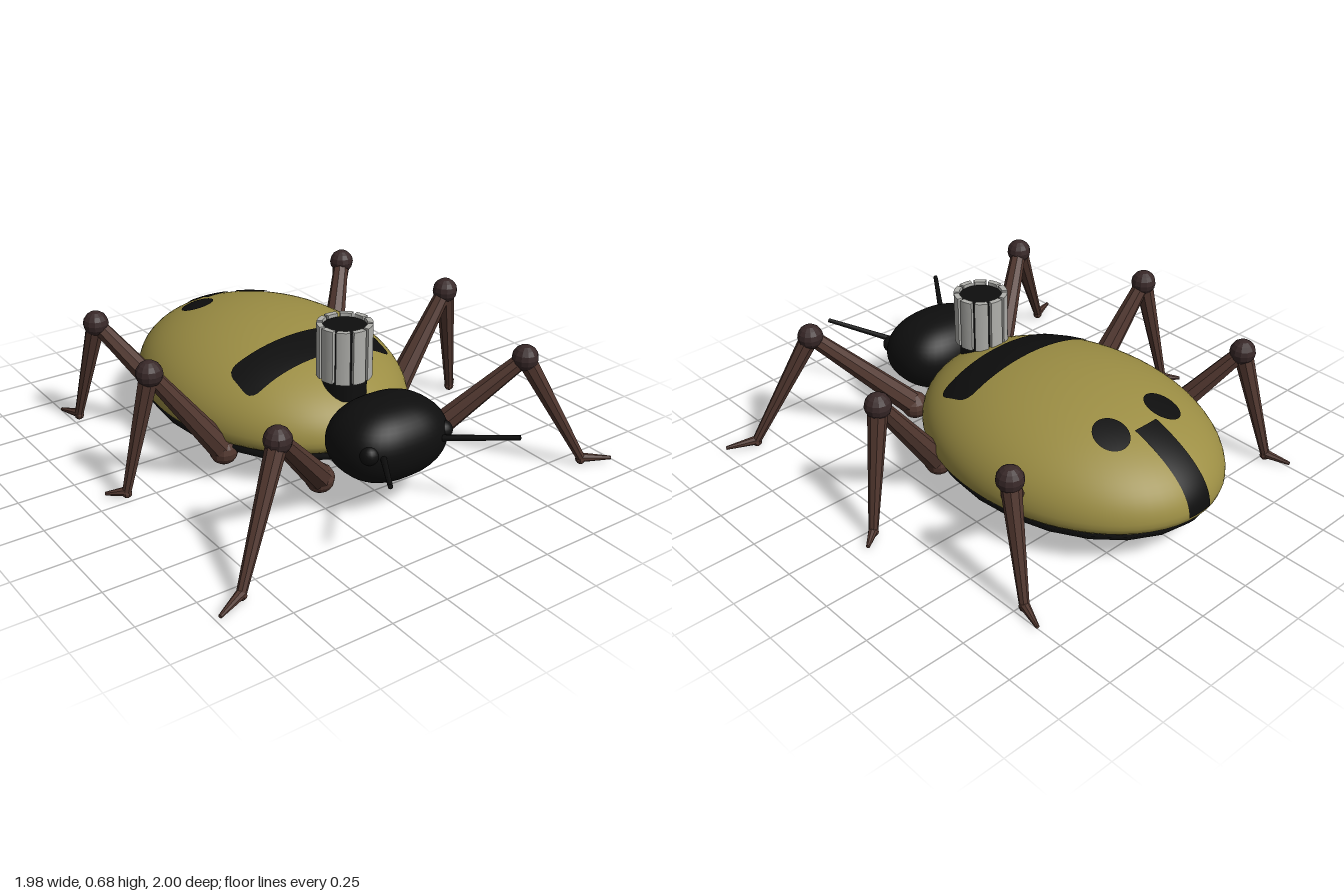
import * as THREE from 'three';

const mat = (name, color) => {
  const m = new THREE.MeshStandardMaterial({ color });
  m.name = name;
  return m;
};

// Shell ellipsoid: centre height and z, radii
const CY = 0.22, CZ = -0.277, RX = 0.543, RY = 0.316, RZ = 0.723;

export function createModel() {
  const model = new THREE.Group();
  model.name = 'beetle';
  const olive = mat('olive', 0x9c8e44);
  const black = mat('black', 0x0e0e0e);
  const brown = mat('brown', 0x51372f);
  const darkBrown = mat('dark brown', 0x382828);
  const grey = mat('grey', 0xb0b0ac);
  const blackMark = mat('marking black', 0x0e0e0e);
  blackMark.side = THREE.DoubleSide;
  const brownFlat = brown, darkFlat = darkBrown;
  brownFlat.flatShading = true;
  darkFlat.flatShading = true;

  const add = (parent, name, geo, material, x = 0, y = 0, z = 0) => {
    const m = new THREE.Mesh(geo, material);
    m.name = name;
    m.position.set(x, y, z);
    parent.add(m);
    return m;
  };
  // Tapered rod between two points
  const rod = (parent, name, a, b, ra, rb, material, sides = 8) => {
    const d = b.clone().sub(a);
    const m = add(parent, name, new THREE.CylinderGeometry(rb, ra, d.length(), sides), material);
    m.position.copy(a).add(b).multiplyScalar(0.5);
    m.quaternion.setFromUnitVectors(new THREE.Vector3(0, 1, 0), d.normalize());
    return m;
  };

  // Domed shell with a rolled rim
  const dome = [new THREE.Vector2(0.9, 0.178), new THREE.Vector2(0.965, 0.182), new THREE.Vector2(0.99, 0.197)];
  for (let i = 0; i <= 24; i++) {
    const t = (i / 24) * Math.PI / 2;
    dome.push(new THREE.Vector2(i === 24 ? 0 : Math.cos(t), CY + RY * Math.sin(t)));
  }
  const shellGeo = new THREE.LatheGeometry(dome, 64);
  shellGeo.scale(RX, 1, RZ);
  add(model, 'shell', shellGeo, olive, 0, 0, CZ);

  // Shallow belly
  const belly = [[0, 0.068], [0.45, 0.072], [0.75, 0.1], [0.93, 0.135], [0.965, 0.165], [0.92, 0.185], [0, 0.186]]
    .map(p => new THREE.Vector2(...p));
  const bellyGeo = new THREE.LatheGeometry(belly, 24);
  bellyGeo.scale(RX, 1, RZ);
  add(model, 'belly', bellyGeo, black, 0, 0, CZ);

  // Shell markings: concentric rings of an outline laid on the dome
  const LIFT = 0.005;
  const decal = (name, outline, cx, cz) => {
    const rings = 8, n = outline.length, pos = [], idx = [];
    for (let r = 0; r <= rings; r++) for (const p of outline) {
      const x = cx + p.x * r / rings, z = cz + p.y * r / rings;
      const k = 1 - (x / RX) ** 2 - ((z - CZ) / RZ) ** 2;
      pos.push(x, CY + RY * Math.sqrt(Math.max(0, k)) + LIFT, z);
    }
    for (let r = 0; r < rings; r++) for (let i = 0; i < n; i++) {
      const a = r * n + i, b = r * n + (i + 1) % n;
      idx.push(a, b, a + n, b, b + n, a + n);
    }
    // Wind so that the faces look upwards
    for (let i = 0; i < idx.length; i += 3) [idx[i + 1], idx[i + 2]] = [idx[i + 2], idx[i + 1]];
    const g = new THREE.BufferGeometry();
    g.setAttribute('position', new THREE.Float32BufferAttribute(pos, 3));
    g.setIndex(idx);
    g.computeVertexNormals();
    add(model, name, g, blackMark);
  };
  const w = 0.368, h = 0.09, c = 0.055;
  const band = new THREE.Shape();
  band.moveTo(w - c, -h);
  band.quadraticCurveTo(w, -h, w, -h + c).lineTo(w, h - c);
  band.quadraticCurveTo(w, h, w - c, h).lineTo(-w + c, h);
  band.quadraticCurveTo(-w, h, -w, h - c).lineTo(-w, -h + c);
  band.quadraticCurveTo(-w, -h, -w + c, -h).lineTo(w - c, -h);
  decal('shellBand', band.getSpacedPoints(96).slice(0, -1), 0, 0.047);
  const spot = new THREE.EllipseCurve(0, 0, 0.071, 0.08).getPoints(32).slice(0, -1);
  for (const s of [-1, 1]) decal('shellSpot', spot, s * 0.147, -0.652);

  // Rear stripe running down to the rim
  const stripe = new THREE.PlaneGeometry(1, 1, 8, 24);
  const sp = stripe.attributes.position;
  for (let i = 0; i < sp.count; i++) {
    const x = -sp.getX(i) * 0.122, t = (sp.getY(i) + 0.5) * 0.95;
    const k = Math.sqrt(1 - (x / RX) ** 2);
    sp.setXYZ(i, x, CY + (RY + LIFT) * k * Math.sin(t), CZ - (RZ + 0.004) * k * Math.cos(t));
  }
  stripe.computeVertexNormals();
  add(model, 'shellStripe', stripe, blackMark);

  // Head: slightly squared ellipsoid
  const headGeo = new THREE.SphereGeometry(1, 40, 24);
  const hp = headGeo.attributes.position;
  const sq = v => Math.sign(v) * Math.abs(v) ** 0.82;
  for (let i = 0; i < hp.count; i++) {
    hp.setXYZ(i, sq(hp.getX(i)) * 0.255, hp.getY(i) * 0.166, sq(hp.getZ(i)) * 0.195);
  }
  headGeo.computeVertexNormals();
  add(model, 'head', headGeo, black, 0, 0.296, 0.57);

  for (const s of [-1, 1]) {
    add(model, 'eye', new THREE.SphereGeometry(0.04, 16, 12), black, s * 0.185, 0.32, 0.695);
    rod(model, 'antenna', new THREE.Vector3(s * 0.13, 0.305, 0.71),
      new THREE.Vector3(s * 0.32, 0.373, 0.993), 0.014, 0.01, black);
  }

  // Knob on the back: dark core wrapped in upright plates
  const knob = new THREE.Group();
  knob.name = 'knob';
  knob.position.set(0, 0, 0.28);
  model.add(knob);
  add(knob, 'knobCore', new THREE.CylinderGeometry(0.094, 0.094, 0.3, 32), black, 0, 0.52, 0);
  const plates = 10, span = Math.PI * 2 / plates * 0.8;
  const arc = new THREE.Shape();
  arc.absarc(0, 0, 0.116, 0, span, false);
  arc.absarc(0, 0, 0.092, span, 0, true);
  const plateGeo = new THREE.ExtrudeGeometry(arc, { depth: 0.23, bevelEnabled: false, curveSegments: 6 });
  plateGeo.rotateX(-Math.PI / 2);
  for (let i = 0; i < plates; i++) {
    add(knob, 'knobPlate', plateGeo, grey, 0, 0.455, 0).rotation.y = (i / plates) * Math.PI * 2;
  }

  // Legs: hip, knee, ankle, toe
  const legs = [
    ['frontLeg', [0.25, 0.13, 0.46], [0.61, 0.525, 0.7], [0.86, 0.035, 0.83], [0.985, 0.02, 0.887]],
    ['middleLeg', [0.45, 0.135, 0.05], [0.76, 0.562, 0.02], [0.865, 0.035, -0.035], [0.935, 0.02, -0.09]],
    ['rearLeg', [0.41, 0.13, -0.38], [0.665, 0.518, -0.64], [0.72, 0.035, -0.775], [0.755, 0.02, -0.885]],
  ];
  for (const [name, ...joints] of legs) for (const s of [-1, 1]) {
    const leg = new THREE.Group();
    leg.name = name;
    model.add(leg);
    const [hip, knee, ankle, toe] = joints.map(([x, y, z]) => new THREE.Vector3(x * s, y, z));
    add(leg, 'hip', new THREE.SphereGeometry(0.062, 12, 8), brown, hip.x, hip.y, hip.z);
    rod(leg, 'thigh', hip, knee, 0.056, 0.034, brown);
    add(leg, 'knee', new THREE.SphereGeometry(0.056, 12, 8), darkBrown, knee.x, knee.y, knee.z);
    rod(leg, 'shin', knee, ankle, 0.042, 0.02, brown);
    add(leg, 'ankle', new THREE.SphereGeometry(0.022, 8, 6), brown, ankle.x, ankle.y - 0.008, ankle.z);
    rod(leg, 'foot', ankle, toe, 0.021, 0.008, brown);
  }
  return model;
}
